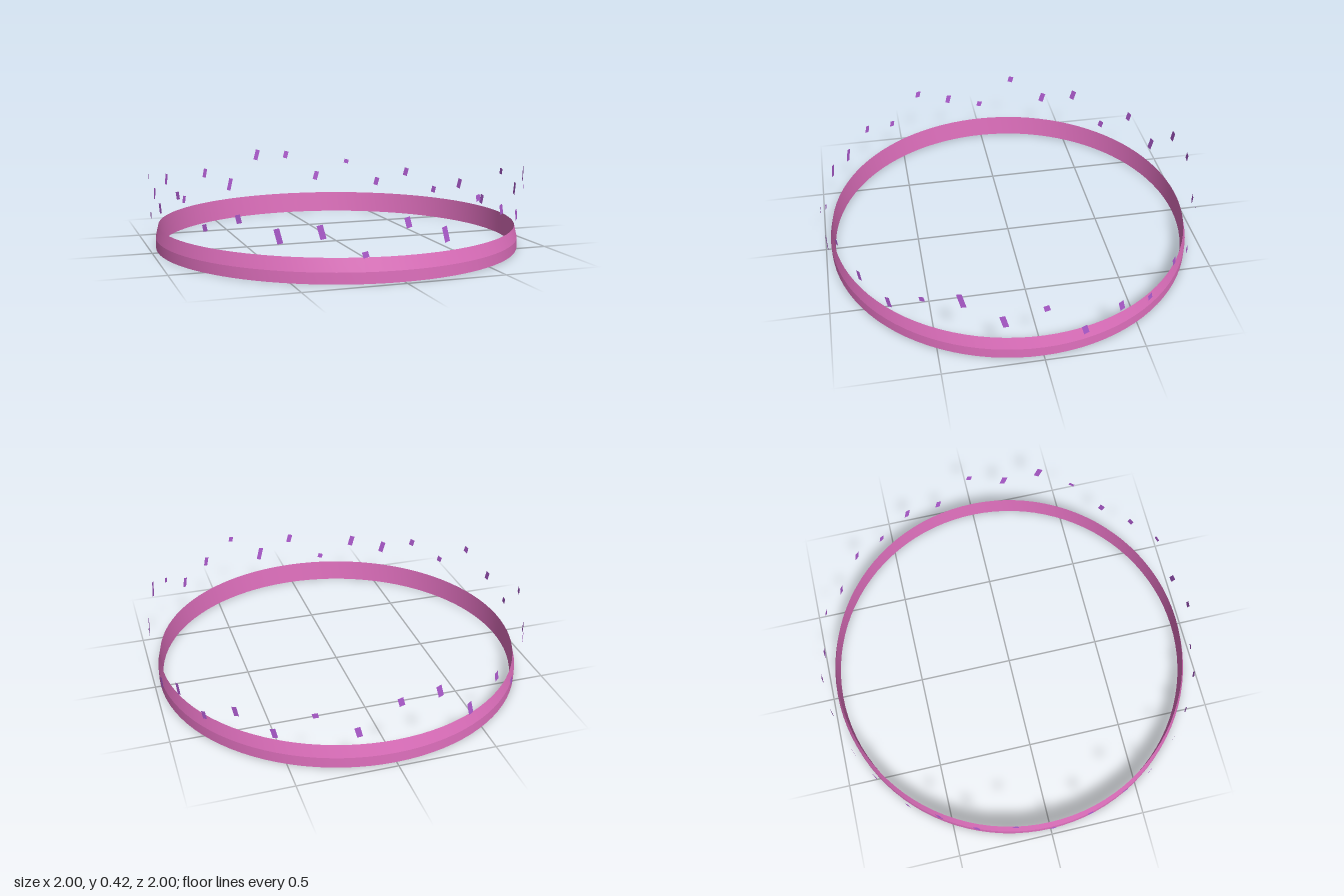
import * as THREE from 'three';
import { toCreasedNormals } from 'three/addons/utils/BufferGeometryUtils.js';

export function createModel() {
  const model = new THREE.Group();
  model.name = 'ringWithShards';
  const pink = new THREE.MeshStandardMaterial({ color: 0xe070be });
  pink.name = 'pink';
  const violet = new THREE.MeshStandardMaterial({ color: 0xb45fd6, side: THREE.DoubleSide });
  violet.name = 'violet';

  // Thin band: upright outside, bevelled inwards above, closed underneath
  const profile = [[0.97, 0], [0.97, 0.055], [0.955, 0.12], [0.948, 0], [0.97, 0]]
    .map(([r, y]) => new THREE.Vector2(r, y));
  const band = new THREE.Mesh(toCreasedNormals(new THREE.LatheGeometry(profile, 96), 0.15), pink);
  band.name = 'band';
  model.add(band);

  // Floating shards, evenly spaced round the band: [centre height, plate length]
  const shards = [
    [0.28, 0.05], [0.21, 0.075], [0.36, 0.03], [0.28, 0.05],
    [0.225, 0.055], [0.335, 0.025], [0.38, 0.08], [0.27, 0.07],
    [0.34, 0.035], [0.15, 0.055], [0.22, 0.06], [0.163, 0.04],
    [0.26, 0.05], [0.19, 0.05], [0.315, 0.025], [0.223, 0.055],
    [0.363, 0.045], [0.371, 0.065], [0.2, 0.075], [0.29, 0.053],
    [0.156, 0.042], [0.303, 0.06], [0.25, 0.06], [0.366, 0.037],
    [0.2, 0.033], [0.266, 0.05], [0.355, 0.037], [0.225, 0.033],
    [0.285, 0.04], [0.22, 0.07], [0.245, 0.065], [0.142, 0.028],
  ];
  const plate = new THREE.PlaneGeometry(0.028, 1);
  const ring = new THREE.Group();
  ring.name = 'shards';
  shards.forEach(([y, length], i) => {
    const angle = (i / shards.length) * Math.PI * 2;
    const shard = new THREE.Mesh(plate, violet);
    shard.name = 'shard' + (i + 1);
    shard.position.set(Math.sin(angle), y, Math.cos(angle));
    shard.rotation.set(0, angle, 0.27); // faces outwards, leaning sideways
    shard.scale.y = length;
    ring.add(shard);
  });
  model.add(ring);
  return model;
}
